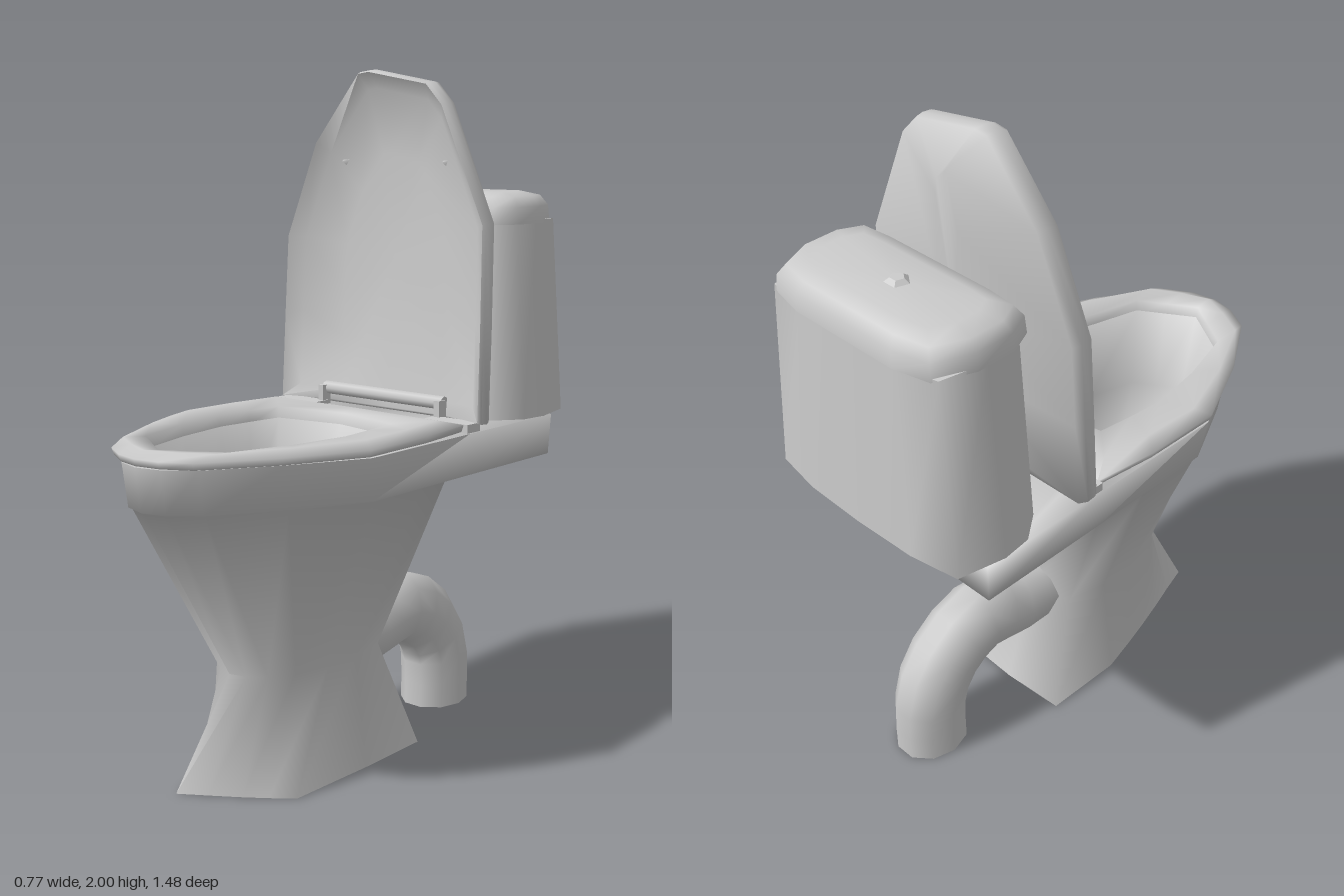
import * as THREE from 'three';
import { toCreasedNormals } from 'three/addons/utils/BufferGeometryUtils.js';

const material = new THREE.MeshStandardMaterial({ color: 0xcccccc, side: THREE.DoubleSide });

function part(name, geometry, parent) {
  const mesh = new THREE.Mesh(geometry, material);
  mesh.name = name;
  parent.add(mesh);
  return mesh;
}

// Horizontal ring from a half outline [x, z] running front to back, mirrored in x
function ring(y, half, sx = 1, sz = 1, cz = 0) {
  const pts = half.map(([x, z]) => [x * sx, y, cz + (z - cz) * sz]);
  const mirrored = pts.filter((p) => p[0] > 0).reverse().map(([x, py, z]) => [-x, py, z]);
  return [...pts, ...mirrored];
}

// Skin over rings with equal point counts; closed joins last ring to first, otherwise ends may be capped
function loft(rings, { closed = false, startCap = !closed, endCap = !closed, crease = 1.3 } = {}) {
  const pos = [];
  const tri = (a, b, c) => pos.push(...a, ...b, ...c);
  const n = rings[0].length;
  const m = rings.length;
  for (let i = 0; i < (closed ? m : m - 1); i++) {
    const lo = rings[i], hi = rings[(i + 1) % m];
    for (let j = 0; j < n; j++) {
      const k = (j + 1) % n;
      tri(lo[j], lo[k], hi[k]);
      tri(lo[j], hi[k], hi[j]);
    }
  }
  const centre = (r) => [0, 1, 2].map((a) => r.reduce((s, p) => s + p[a], 0) / n);
  const first = rings[0], last = rings[m - 1];
  for (let j = 0; j < n; j++) {
    const k = (j + 1) % n;
    if (startCap) tri(centre(first), first[k], first[j]);
    if (endCap) tri(centre(last), last[j], last[k]);
  }
  const g = new THREE.BufferGeometry();
  g.setAttribute('position', new THREE.Float32BufferAttribute(pos, 3));
  return toCreasedNormals(g, crease);
}

export function createModel() {
  const model = new THREE.Group();
  model.name = 'toilet';

  // Lopsided foot outline, all the way round from the front point
  const foot = [[-0.075, 0.54], [0, 0.49], [0.08, 0.435], [0.14, 0.39], [0.2, 0.34], [0.205, 0.05], [0.2, -0.2], [0, -0.21],
    [-0.2, -0.2], [-0.205, 0.05], [-0.18, 0.16], [-0.155, 0.26], [-0.13, 0.35], [-0.1, 0.45]].map(([x, z]) => [x, 0, z]);

  // Half outlines [x, z], front to back
  const waist = [[0, 0.4], [0.05, 0.385], [0.1, 0.35], [0.14, 0.28], [0.165, 0.17], [0.165, 0.05], [0.14, -0.08], [0, -0.1]];
  const neck = [[0, 0.705], [0.065, 0.685], [0.14, 0.62], [0.255, 0.43], [0.36, 0.21], [0.355, 0], [0.33, -0.15], [0, -0.16]];
  const shelf = [[0, 0.715], [0.07, 0.695], [0.145, 0.63], [0.26, 0.44], [0.367, 0.22], [0.367, -0.2], [0.365, -0.62], [0, -0.62]];
  const rim = [[0, 0.73], [0.075, 0.71], [0.15, 0.65], [0.27, 0.46], [0.38, 0.24], [0.375, -0.2], [0.37, -0.625], [0, -0.625]];
  const hole = [[0, 0.64], [0.08, 0.59], [0.16, 0.54], [0.21, 0.36], [0.235, 0.19], [0.225, 0.08], [0.21, -0.03], [0, -0.07]];
  const seatEdge = [[0, 0.735], [0.075, 0.72], [0.155, 0.675], [0.28, 0.48], [0.385, 0.25], [0.38, 0], [0.355, -0.2], [0, -0.18]];

  // Pedestal (open underneath), shelf and bowl hollow in one smooth skin
  part('bowl', loft([
    foot, ring(0.33, waist), ring(0.845, neck), ring(0.85, shelf), ring(0.972, rim),
    ring(0.972, hole), ring(0.72, hole, 0.87, 0.87, 0.27), ring(0.47, hole, 0.5, 0.52, 0.2),
  ], { startCap: false, crease: 1.65 }), model);

  // Seat ring with a softly rounded section
  const crown = seatEdge.map(([x, z], i) => [(x + hole[i][0]) / 2, (z + hole[i][1]) / 2]);
  part('seat', loft([
    ring(0.975, seatEdge, 0.98, 0.99), ring(0.995, seatEdge), ring(1.013, crown, 1.1, 1.03, 0.25),
    ring(1.005, hole, 1.03, 1.02, 0.27), ring(0.965, hole),
  ], { closed: true, crease: 1.65 }), model);

  // Hinge bar tucked into the lid, with a nub and a plate at each end
  const hinge = new THREE.Group();
  hinge.name = 'hinge';
  model.add(hinge);
  const bar = part('hingeBar', new THREE.CylinderGeometry(0.02, 0.02, 0.46, 8), hinge);
  bar.rotation.z = Math.PI / 2;
  bar.position.set(0, 1.035, -0.27);
  for (const s of [-1, 1]) {
    part('hingeNub', new THREE.BoxGeometry(0.02, 0.06, 0.035), hinge).position.set(s * 0.225, 1.015, -0.255);
    part('hingePlate', new THREE.BoxGeometry(0.16, 0.025, 0.06), hinge).position.set(s * 0.29, 0.985, -0.225);
  }

  // Raised lid: leaning outline, dished front with an open foot for the hinge, bulging back
  const outline = [[0, 0.99], [0.22, 0.99], [0.38, 0.99], [0.375, 1.25], [0.365, 1.56], [0.2, 1.9], [0.14, 1.96],
    [-0.08, 2.0], [-0.12, 1.995], [-0.28, 1.79], [-0.385, 1.5], [-0.388, 1.25], [-0.39, 0.99], [-0.22, 0.99]];
  const lidRing = (sx, sy, off) => outline.map(([x, y]) => {
    const ny = 1.45 + (y - 1.45) * sy;
    const atFoot = y < 1.1 && Math.abs(x) < 0.3;
    return [x * sx, ny, -0.235 - 0.05 * (ny - 1) + (atFoot ? Math.min(off, off * 0.1 - 0.045) : off)];
  });
  part('lid', loft([
    lidRing(0.15, 0.78, -0.115), lidRing(0.97, 0.995, -0.065), lidRing(1, 1, -0.04),
    lidRing(1, 0.995, -0.012), lidRing(0.985, 0.985, 0), lidRing(0.87, 0.9, -0.035), lidRing(0.5, 0.55, -0.065),
  ], { crease: 1.65 }), model);

  // Bumpers on the inside of the lid
  for (const s of [-1, 1]) {
    const bumper = part('lidBumper', new THREE.ConeGeometry(0.02, 0.04, 3), model);
    bumper.rotation.x = Math.PI / 2;
    bumper.position.set(s * 0.19, 1.73, -0.315);
  }

  // Cistern, wider at the foot and open underneath
  const tank = [[0, -0.39], [0.2, -0.39], [0.31, -0.4], [0.37, -0.48], [0.38, -0.57], [0.35, -0.71], [0.2, -0.735], [0, -0.74]];
  part('tank', loft([ring(0.975, tank), ring(1.56, tank, 0.88, 0.95, -0.565)], { startCap: false }), model);

  // Cistern cover with rounded top
  const cover = [[0, -0.395], [0.2, -0.395], [0.3, -0.405], [0.335, -0.48], [0.335, -0.6], [0.29, -0.71], [0.18, -0.735], [0, -0.735]];
  part('tankCover', loft([
    ring(1.55, cover), ring(1.6, cover, 0.985, 0.98, -0.565),
    ring(1.63, cover, 0.92, 0.86, -0.565), ring(1.643, cover, 0.75, 0.6, -0.565),
  ]), model);

  // Flush button
  part('flushButton', toCreasedNormals(new THREE.CylinderGeometry(0.02, 0.042, 0.016, 5), 0.5), model)
    .position.set(-0.01, 1.646, -0.56);

  // Waste pipe bending down to the floor, slightly flattened sideways
  const path = new THREE.CatmullRomCurve3([
    [-0.04, 0.33], [-0.2, 0.33], [-0.34, 0.355], [-0.46, 0.3], [-0.53, 0.2], [-0.542, 0.1], [-0.542, 0],
  ].map(([z, y]) => new THREE.Vector3(0, y, z)));
  part('wastePipe', new THREE.TubeGeometry(path, 10, 0.116, 10, false), model).scale.x = 0.88;

  return model;
}
